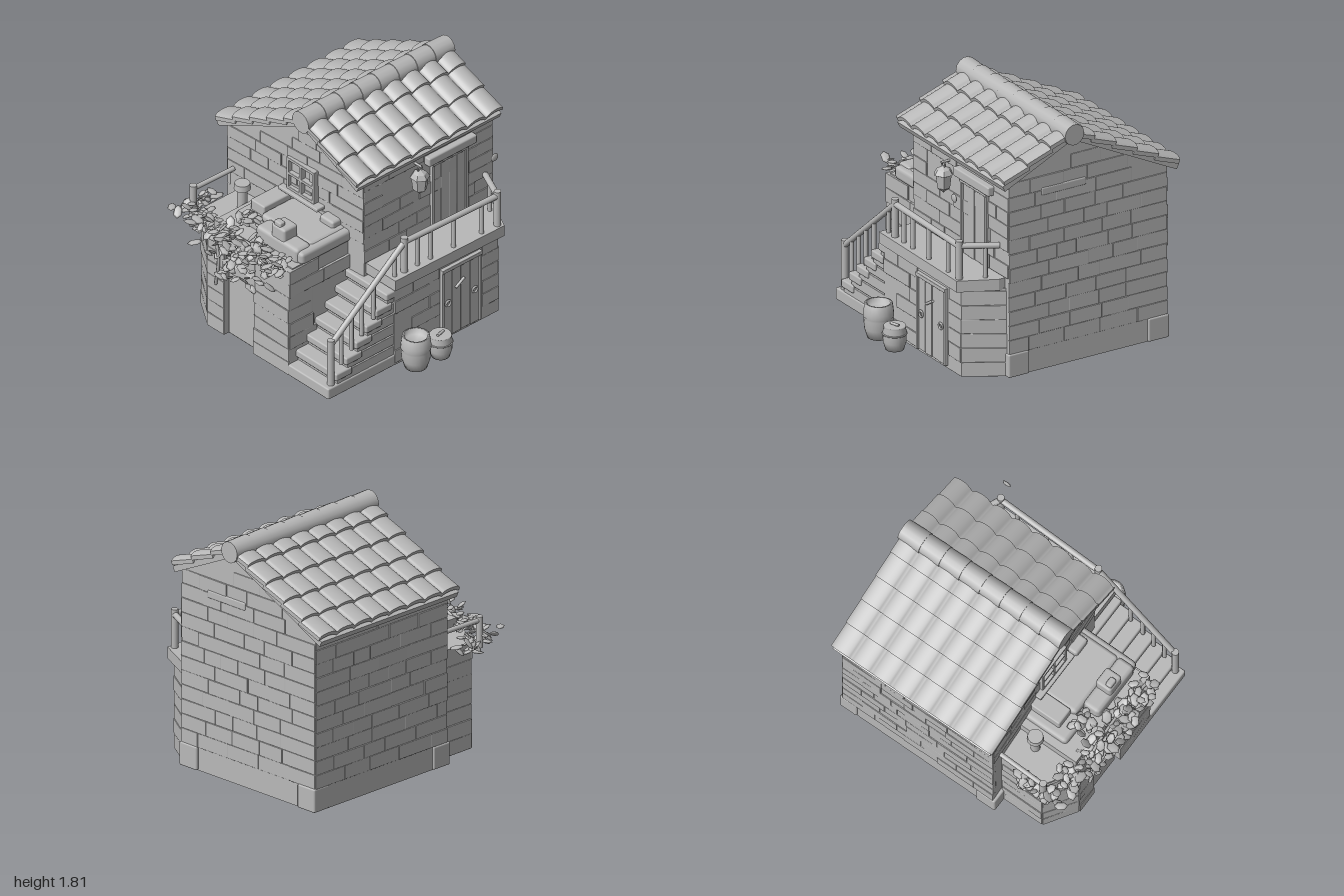
import * as THREE from 'three';
import { mergeGeometries } from 'three/addons/utils/BufferGeometryUtils.js';
import { RoundedBoxGeometry } from 'three/addons/geometries/RoundedBoxGeometry.js';

const V = (x, y, z) => new THREE.Vector3(x, y, z);

export function createModel() {
  const model = new THREE.Group();
  const clay = new THREE.MeshStandardMaterial({ color: 0xb8b8b8 });
  clay.name = 'plain grey';
  let seed = 7;
  const rnd = (a = 0, b = 1) => {
    seed = (seed * 16807) % 2147483647;
    return a + (b - a) * (seed / 2147483647);
  };
  const add = (name, geo, x = 0, y = 0, z = 0) => {
    const m = new THREE.Mesh(geo, clay);
    m.name = name;
    m.position.set(x, y, z);
    model.add(m);
    return m;
  };
  // Box given by its limits on each axis
  const block = (name, x0, x1, y0, y1, z0, z1, r = 0.012) =>
    add(name, new RoundedBoxGeometry(x1 - x0, y1 - y0, z1 - z0, 1, r), (x0 + x1) / 2, (y0 + y1) / 2, (z0 + z1) / 2);
  // Round bar between two points
  const bar = (name, a, b, r, r2 = r) => {
    const m = add(name, new THREE.CylinderGeometry(r2, r, a.distanceTo(b), 14));
    m.position.copy(a).add(b).multiplyScalar(0.5);
    m.quaternion.setFromUnitVectors(V(0, 1, 0), b.clone().sub(a).normalize());
    return m;
  };
  // Prism with a plan outline of [x, z] points
  const prism = (name, pts, y0, y1) => {
    const g = new THREE.ExtrudeGeometry(new THREE.Shape(pts.map(([x, z]) => new THREE.Vector2(x, -z))), { depth: y1 - y0, bevelEnabled: false });
    return add(name, g.rotateX(-Math.PI / 2), 0, y0, 0);
  };
  // Shallow stone courses on a wall running from a to b in plan
  const courses = (name, a, b, y0, y1, h, fill, topAt = () => 9) => {
    const dx = b[0] - a[0], dz = b[1] - a[1], len = Math.hypot(dx, dz), list = [];
    const n = Math.round((y1 - y0) / h), ch = (y1 - y0) / n;
    for (let i = 0; i < n; i++) {
      for (let s = 0; s < len - 0.01;) {
        const w = len - s < 0.4 ? len - s : rnd(0.16, 0.34);
        const t = (s + w / 2) / len, y = y0 + (i + 0.5) * ch, proud = rnd(0.003, 0.011);
        const low = Math.min(topAt(a[1] + dz * s / len), topAt(a[1] + dz * (s + w) / len));
        if (rnd() < fill && y + ch / 2 < low) {
          const g = new RoundedBoxGeometry(w, ch, 0.03 + proud, 1, 0.004);
          g.rotateY(rnd(-0.02, 0.02)).translate(0, 0, proud / 2 - 0.015);
          g.rotateY(Math.atan2(-dz, dx)).translate(a[0] + dx * t, y, a[1] + dz * t);
          list.push(g);
        }
        s += w;
      }
    }
    add(name, mergeGeometries(list));
  };

  // House body: gable profile, its left wall slightly askew
  const prof = [[-0.45, 0], [0.85, 0], [0.85, 1.315], [0.06, 1.68], [-0.45, 1.455]];
  const bodyGeo = new THREE.ExtrudeGeometry(new THREE.Shape(prof.map(p => new THREE.Vector2(...p))), { depth: 1.285, bevelEnabled: false });
  bodyGeo.rotateY(Math.PI / 2).translate(-0.34, 0, 0);
  const bp = bodyGeo.attributes.position;
  for (let i = 0; i < bp.count; i++) if (bp.getX(i) < 0) bp.setX(i, -0.34 + 0.08 * (bp.getZ(i) + 0.85) / 1.3);
  bodyGeo.computeVertexNormals();
  add('houseBody', bodyGeo);
  const gable = z => (z > -0.06 ? 1.68 - 0.43 * (z + 0.06) : 1.68 + 0.456 * (z + 0.06));
  courses('rightWallStones', [0.945, 0.45], [0.945, -0.85], 0.17, 1.67, 0.107, 1, gable);
  courses('backWallStones', [0.945, -0.85], [-0.34, -0.85], 0.17, 1.3, 0.107, 1);
  courses('leftWallStones', [-0.34, -0.85], [-0.26, 0.45], 0.9, 1.67, 0.1, 0.85, gable);
  courses('frontUpperStones', [-0.26, 0.45], [0.945, 0.45], 0.74, 1.44, 0.1, 0.6);
  block('rightWallLintel', 0.9, 0.962, 1.31, 1.37, -0.18, 0.19);
  for (const z of [0.375, -0.775]) block('cornerStone', 0.82, 0.965, 0, 0.175, z - 0.085, z + 0.085);
  block('cornerStone', -0.36, -0.2, 0, 0.17, -0.865, -0.7);

  // Lower front storey with a chamfered corner
  prism('lowerStorey', [[-0.22, 0.715], [0.75, 0.715], [0.92, 0.44], [-0.22, 0.44]], 0, 0.66);
  courses('lowerFrontStones', [-0.22, 0.715], [0.2, 0.715], 0.02, 0.64, 0.1, 0.6);
  courses('doorSideStones', [0.6, 0.715], [0.755, 0.715], 0, 0.64, 0.105, 1);
  courses('chamferStones', [0.75, 0.715], [0.92, 0.44], 0, 0.64, 0.105, 0.6);
  prism('balconyFloor', [[-0.24, 0.75], [0.77, 0.765], [0.9, 0.5], [0.9, 0.44], [-0.24, 0.44]], 0.65, 0.735);

  // Plank doors
  const door = (name, x0, x1, y0, y1, z) => {
    const w = (x1 - x0) / 4;
    for (let i = 0; i < 4; i++) block(name + 'Plank', x0 + i * w, x0 + (i + 1) * w - 0.003, y0, y1, z - 0.02, z + 0.01 + (i % 2) * 0.004, 0.004);
    for (const x of [x0 - 0.008, x1 + 0.008]) block(name + 'Jamb', x - 0.012, x + 0.012, y0, y1, z - 0.02, z + 0.025, 0.005);
    block(name + 'Header', x0 - 0.02, x1 + 0.02, y1 - 0.01, y1 + 0.02, z - 0.02, z + 0.03, 0.005);
  };
  door('frontDoor', 0.23, 0.565, 0.02, 0.58, 0.715);
  bar('doorLatch', V(0.34, 0.4, 0.735), V(0.42, 0.45, 0.735), 0.01);
  for (const x of [0.27, 0.52]) add('doorRing', new THREE.TorusGeometry(0.022, 0.008, 6, 14), x, 0.3, 0.735);
  door('balconyDoor', 0.38, 0.68, 0.735, 1.28, 0.45);
  block('balconyDoorLintel', 0.31, 0.76, 1.3, 1.37, 0.42, 0.5);
  const scrap = add('looseLeaf', new THREE.SphereGeometry(0.035, 8, 5), 0.7, 1.33, 0.74);
  scrap.scale.set(1, 0.9, 0.3);

  // Roof: rows of wavy tiles over a plain deck
  const PITCH = 1.37 / 8;
  const tileRow = (name, z0, y0, z1, y1, wave) => {
    const len = Math.hypot(z1 - z0, y1 - y0), g = new THREE.BoxGeometry(1.37, 0.03, len, 96, 1, 1);
    const p = g.attributes.position;
    for (let i = 0; i < p.count; i++) p.setY(i, p.getY(i) + wave((p.getX(i) + 0.685) / PITCH));
    g.computeVertexNormals();
    g.rotateX(Math.atan2(y0 - y1, z1 - z0));
    add(name, g, 0.3, (y0 + y1) / 2, (z0 + z1) / 2);
  };
  const slope = (name, end, drop, rows, wave) => {
    const at = t => [-0.06 + end * t, 1.732 - drop * t];
    for (let i = 0; i < rows; i++) {
      const [za, ya] = at(Math.max(0, i / rows - 0.03)), [zb, yb] = at((i + 1) / rows);
      // Build each row with increasing z
      if (end > 0) tileRow(name, za, ya - 0.01, zb, yb + 0.018, wave);
      else tileRow(name, zb, yb + 0.018, za, ya - 0.01, wave);
    }
    const len = Math.hypot(end, drop) - 0.01;
    const deck = add('roofDeck', new THREE.BoxGeometry(1.34, 0.045, len), 0.3, 1.703 - drop / 2, -0.06 + end / 2);
    deck.rotation.x = Math.atan2(drop, Math.abs(end)) * Math.sign(end);
  };
  slope('frontTiles', 0.57, 0.267, 3, u => 0.05 * Math.sqrt(Math.abs(Math.sin(Math.PI * (u - 0.1)))) - 0.025);
  slope('backTiles', -0.87, 0.432, 5, u => 0.024 * Math.sqrt(Math.abs(Math.sin(Math.PI * u))) - 0.006);
  for (let i = 0; i < 8; i++) {
    const x = -0.385 + i * PITCH;
    bar('ridgeTile', V(x, 1.724, -0.06), V(x + PITCH + 0.01, 1.724, -0.06), 0.084, 0.078);
  }

  // Stairs up to the balcony
  block('stairBase', -0.84, -0.2, 0, 0.09, 0.3, 0.72);
  for (let i = 1; i < 7; i++) {
    const x = -0.84 + i * 0.094;
    block('stairStep', x, -0.2, 0.09 * i - 0.01, 0.09 * (i + 1) - 0.02, 0.28, 0.71, 0.004);
    block('stairTread', x - 0.02, x + 0.13, 0.09 * (i + 1) - 0.06, 0.09 * (i + 1), 0.28, 0.722);
  }

  // Handrails: posts, balusters and top rails
  const corner = V(0.74, 0.98, 0.725), wallEnd = V(0.86, 0.97, 0.47), top = V(-0.11, 0.98, 0.7), foot = V(-0.78, 0.42, 0.68);
  for (const [p, y] of [[top, 0.7], [corner, 0.7], [foot, 0.09]]) bar('railPost', V(p.x, y, p.z), V(p.x, p.y + 0.04, p.z), 0.026);
  for (const [a, b] of [[foot, top], [top, corner], [corner, wallEnd]]) bar('handRail', a, b, 0.022);
  for (const t of [0.14, 0.28, 0.53, 0.83]) {
    const p = top.clone().lerp(corner, t);
    bar('baluster', V(p.x, 0.71, p.z), p, 0.017);
  }
  bar('baluster', V(0.82, 0.71, 0.56), V(0.82, 0.97, 0.56), 0.016);
  for (const t of [0.14, 0.28, 0.42, 0.58, 0.87]) {
    const p = foot.clone().lerp(top, t);
    bar('baluster', V(p.x, p.y - 0.28, p.z), p, 0.016);
  }

  // Side annex, its rear corner cut away and its rear end lower
  prism('annex', [[-0.79, 0.3], [-0.25, 0.3], [-0.25, -0.5], [-0.79, -0.5]], 0, 0.87);
  prism('annexRear', [[-0.83, -0.35], [-0.3, -0.35], [-0.3, -0.745], [-0.68, -0.745], [-0.83, -0.52]], 0, 0.79);
  block('annexFrontPier', -0.83, -0.6, 0, 0.86, -0.05, 0.31);
  courses('annexBackStones', [-0.34, -0.745], [-0.68, -0.745], 0, 0.77, 0.11, 0.9);
  courses('annexCutStones', [-0.68, -0.745], [-0.83, -0.52], 0, 0.77, 0.11, 0.9);
  courses('annexLeftStones', [-0.83, -0.52], [-0.83, -0.35], 0, 0.77, 0.11, 0.8);
  courses('annexPierStones', [-0.83, -0.05], [-0.83, 0.31], 0, 0.86, 0.11, 0.8);
  courses('annexFrontStones', [-0.83, 0.31], [-0.25, 0.31], 0.1, 0.86, 0.11, 0.6);
  block('sideDoor', -0.81, -0.78, 0.02, 0.55, -0.33, -0.07, 0.004);
  block('sideDoorLintel', -0.84, -0.7, 0.55, 0.63, -0.37, -0.03);

  // Terrace parapet, raised floor, rubble and railing
  block('frontParapet', -0.72, -0.24, 0.86, 0.96, 0.18, 0.32, 0.03);
  block('sideParapet', -0.73, -0.59, 0.85, 0.98, -0.15, 0.28, 0.03);
  block('parapetStone', -0.72, -0.59, 0.95, 1.07, 0.0, 0.14, 0.02);
  block('parapetStone', -0.71, -0.66, 1.05, 1.1, 0.02, 0.09, 0.012);
  block('terraceRise', -0.6, -0.26, 0.85, 0.97, -0.24, 0.28, 0.03);
  block('terraceRise', -0.66, -0.28, 0.83, 0.92, -0.44, -0.15, 0.03);
  block('parapetStone', -0.36, -0.27, 0.95, 1.02, 0.1, 0.24, 0.02);
  bar('terracePost', V(-0.72, 0.75, -0.79), V(-0.72, 0.98, -0.79), 0.026);
  bar('terraceRail', V(-0.72, 0.95, -0.79), V(-0.35, 0.95, -0.78), 0.018);
  bar('terraceStump', V(-0.48, 0.77, -0.55), V(-0.48, 0.97, -0.55), 0.035);
  bar('terraceStumpCap', V(-0.48, 0.965, -0.55), V(-0.48, 1.01, -0.55), 0.06, 0.055);
  block('terraceBox', -0.56, -0.3, 0.9, 1.0, -0.38, -0.24);
  // Side window with crossed bars
  block('windowSill', -0.36, -0.28, 1.02, 1.05, -0.32, 0.08, 0.008);
  for (const y of [1.06, 1.18, 1.3]) block('windowBar', -0.335, -0.28, y - 0.012, y + 0.012, -0.26, 0.02, 0.005);
  for (const z of [-0.25, -0.12, 0.01]) block('windowUpright', -0.335, -0.28, 1.05, 1.31, z - 0.012, z + 0.012, 0.005);

  // Climbing leaves along the terrace edge
  const leaves = [];
  const leaf = (x, y, z) => {
    const s = rnd(0.7, 1.2), g = new THREE.SphereGeometry(1, 6, 4).scale(0.05 * s, 0.009, 0.032 * s);
    leaves.push(g.rotateZ(rnd(-0.9, 0.9)).rotateY(rnd(0, 6.28)).translate(x, y, z));
  };
  for (let i = 0; i < 110; i++) leaf(rnd(-0.92, -0.76), rnd(0.79, 0.94), rnd(-0.6, 0.28));
  for (let i = 0; i < 25; i++) leaf(rnd(-0.9, -0.72), rnd(0.76, 0.88), rnd(-0.82, -0.55));
  for (let i = 0; i < 35; i++) leaf(rnd(-0.88, -0.84), rnd(0.5, 0.82), -0.25 + 0.5 * rnd(-1, 1) * rnd());
  for (let i = 0; i < 22; i++) leaf(rnd(-0.8, -0.5), rnd(0.76, 0.87), rnd(-0.84, -0.77));
  for (let i = 0; i < 16; i++) leaf(rnd(-0.75, -0.6), rnd(0.92, 1.0), rnd(-0.33, -0.18));
  for (let i = 0; i < 8; i++) leaf(rnd(-0.95, -0.93), rnd(0.82, 0.92), rnd(-0.3, 0.1));
  add('climbingLeaves', mergeGeometries(leaves));
  add('vineStem', new THREE.TubeGeometry(new THREE.CatmullRomCurve3(
    [V(-0.85, 0.4, -0.42), V(-0.86, 0.6, -0.38), V(-0.84, 0.84, -0.4), V(-0.82, 0.88, 0), V(-0.84, 0.85, 0.28)]), 30, 0.012, 6));

  // Barrels: hollow rim on the large one, lid and handle on the small one
  const barrel = (name, pts, x, z) =>
    add(name, new THREE.LatheGeometry(pts.map(p => new THREE.Vector2(...p)), 24), x, 0, z);
  barrel('largeBarrel', [[0, 0.01], [0.08, 0.01], [0.1, 0.08], [0.105, 0.15], [0.103, 0.165], [0.108, 0.17], [0.106, 0.2], [0.098, 0.265], [0.08, 0.265], [0.078, 0.22], [0, 0.22]], -0.12, 0.83);
  barrel('smallBarrel', [[0, 0], [0.065, 0], [0.082, 0.06], [0.084, 0.13], [0.075, 0.165], [0.08, 0.17], [0.076, 0.18], [0, 0.175]], 0.1, 0.84);
  bar('lidHandle', V(0.065, 0.185, 0.85), V(0.135, 0.185, 0.83), 0.01);
  add('barrelHoop', new THREE.TorusGeometry(0.084, 0.006, 6, 28).rotateX(Math.PI / 2), 0.1, 0.12, 0.84);

  // Hanging lantern
  const glass = [[0, 1.135], [0.012, 1.15], [0.05, 1.18], [0.062, 1.275], [0.072, 1.28], [0.05, 1.315], [0.012, 1.335], [0, 1.34]];
  add('lantern', new THREE.LatheGeometry(glass.map(p => new THREE.Vector2(...p)), 6).toNonIndexed(), 0.21, 0, 0.51).geometry.computeVertexNormals();
  add('lanternHook', new THREE.TorusGeometry(0.02, 0.006, 6, 12), 0.21, 1.35, 0.51);
  bar('lanternArm', V(0.21, 1.37, 0.44), V(0.21, 1.37, 0.53), 0.009);
  return model;
}
